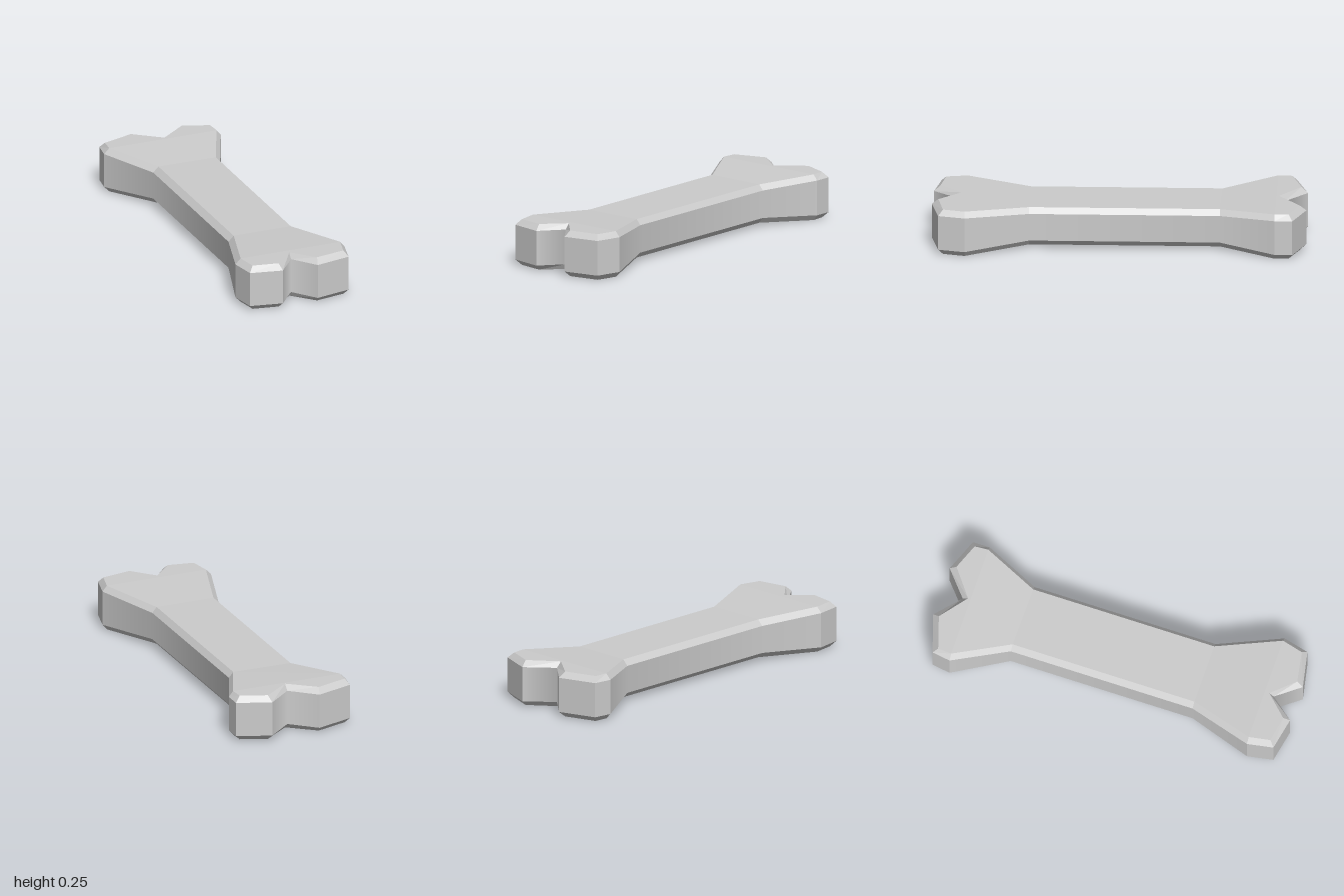
import * as THREE from 'three';

// Outline seen from above, counter-clockwise from the front notch.
// Each entry: wall x, wall z, bevelled top x, bevelled top z.
const OUTLINE = [
  [0.01, 0.865, 0.01, 0.84], [0.11, 0.995, 0.12, 0.96], [0.305, 0.955, 0.285, 0.93],
  [0.34, 0.815, 0.315, 0.815], [0.2, 0.475, 0.175, 0.475], [0.2, -0.54, 0.175, -0.54],
  [0.33, -0.835, 0.305, -0.835], [0.33, -0.93, 0.3, -0.91], [0.15, -1, 0.16, -0.965],
  [0.01, -0.88, 0.01, -0.85], [-0.125, -1, -0.135, -0.965], [-0.33, -0.935, -0.31, -0.91],
  [-0.345, -0.835, -0.315, -0.835], [-0.185, -0.545, -0.155, -0.545], [-0.185, 0.475, -0.155, 0.475],
  [-0.29, 0.815, -0.26, 0.815], [-0.265, 0.955, -0.24, 0.93], [-0.09, 0.99, -0.1, 0.955],
];
const NECKS = [4, 5, 13, 14]; // the shaft is slightly thinner than the ends
const MID = 0.125;
const BEVEL = 0.03;

// Flat cap polygons: front lobes, taper, shaft, taper, back lobes
const CAPS = [
  [0, 1, 2, 3, 15, 16, 17], [3, 4, 14, 15], [4, 5, 13, 14], [5, 6, 12, 13],
  [9, 10, 11, 12, 6, 7, 8],
];

function boneGeometry() {
  const n = OUTLINE.length;
  const positions = [];
  const normals = [];

  const half = (i) => (NECKS.includes(i) ? 0.105 : 0.125);
  const rim = (i, s) => new THREE.Vector3(OUTLINE[i][0], MID + s * (half(i) - BEVEL), OUTLINE[i][1]);
  const cap = (i, s) => new THREE.Vector3(OUTLINE[i][2], MID + s * half(i), OUTLINE[i][3]);

  // Fan of triangles; flat unless one normal per corner is given
  function polygon(points, cornerNormals) {
    for (let k = 1; k < points.length - 1; k++) {
      const ids = [0, k, k + 1];
      const tri = ids.map((id) => points[id]);
      const flat = new THREE.Triangle(...tri).getNormal(new THREE.Vector3());
      ids.forEach((id, c) => {
        positions.push(...tri[c].toArray());
        normals.push(...(cornerNormals ? cornerNormals[id] : flat).toArray());
      });
    }
  }

  // Outward normal of each wall
  const wallNormals = OUTLINE.map((p, i) => {
    const q = OUTLINE[(i + 1) % n];
    return new THREE.Vector3(p[1] - q[1], 0, q[0] - p[0]).normalize();
  });
  // Walls blend smoothly in the hollows and stay sharp at outer corners
  function cornerNormal(i, wall) {
    const before = wallNormals[(i + n - 1) % n];
    const after = wallNormals[i];
    const hollow = before.x * after.z - before.z * after.x > 0;
    return hollow ? before.clone().add(after).normalize() : wallNormals[wall];
  }

  for (let i = 0; i < n; i++) {
    const j = (i + 1) % n;
    const a = cornerNormal(i, i);
    const b = cornerNormal(j, i);
    polygon([rim(i, -1), rim(j, -1), rim(j, 1), rim(i, 1)], [a, b, b, a]); // wall
    polygon([rim(i, 1), rim(j, 1), cap(j, 1), cap(i, 1)]); // upper bevel
    polygon([cap(i, -1), cap(j, -1), rim(j, -1), rim(i, -1)]); // lower bevel
  }
  for (const ids of CAPS) {
    polygon(ids.map((i) => cap(i, 1))); // top
    polygon([ids[0], ...ids.slice(1).reverse()].map((i) => cap(i, -1))); // bottom
  }

  const geometry = new THREE.BufferGeometry();
  geometry.setAttribute('position', new THREE.Float32BufferAttribute(positions, 3));
  geometry.setAttribute('normal', new THREE.Float32BufferAttribute(normals, 3));
  return geometry;
}

export function createModel() {
  const group = new THREE.Group();
  group.name = 'bone';
  const body = new THREE.Mesh(boneGeometry(), new THREE.MeshStandardMaterial({ color: 0xcccccc }));
  body.name = 'boneBody';
  group.add(body);
  return group;
}
